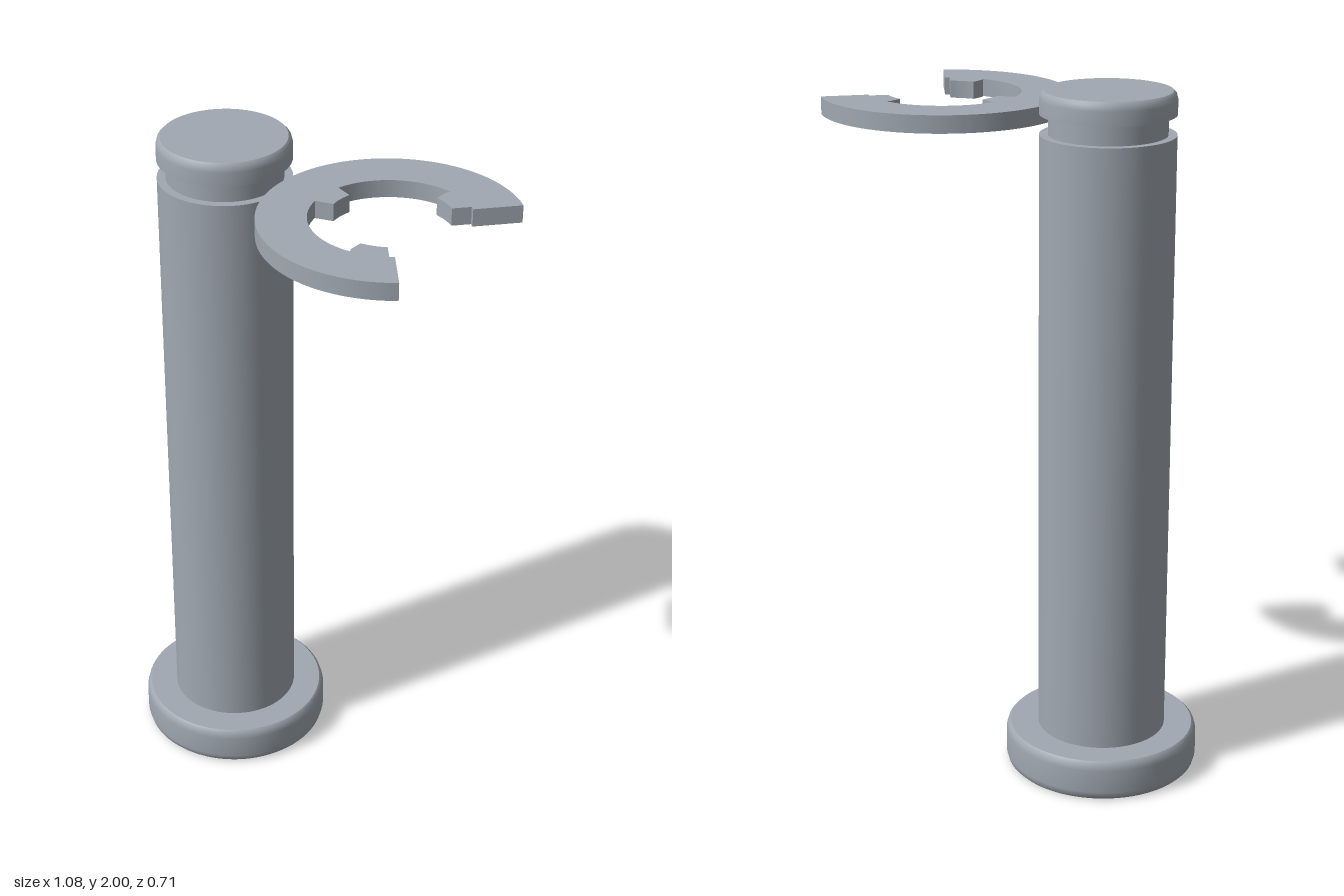
import * as THREE from 'three';
import { toCreasedNormals } from 'three/addons/utils/BufferGeometryUtils.js';

const PIN_X = -0.257;
const CLIP_X = 0.311;

// Turned piece; each profile section is smooth, edges between sections stay sharp
function turned(name, sections, material) {
  const group = new THREE.Group();
  group.name = name;
  for (const section of sections) {
    const points = section.map(([r, y]) => new THREE.Vector2(r, y));
    const mesh = new THREE.Mesh(new THREE.LatheGeometry(points, 72), material);
    mesh.name = name + 'Surface';
    group.add(mesh);
  }
  group.position.x = PIN_X;
  return group;
}

// Open retaining ring with three inner lugs
function clipShape() {
  const outer = 0.354, inner = 0.219, lug = 0.167;
  const mouth = Math.atan2(0.272, 0.227);
  const half = []; // upper half of the inner edge, from the middle lug to the mouth
  const arc = (r, from, to, n) => {
    for (let i = 0; i <= n; i++) {
      const a = from + ((to - from) * i) / n;
      half.push([r * Math.cos(a), r * Math.sin(a)]);
    }
  };
  arc(lug, Math.PI, Math.PI - 0.205, 4);
  arc(inner, Math.PI - 0.232, Math.atan2(0.217, 0.032), 28);
  half.push([0.026, 0.205]);
  arc(lug, Math.atan2(0.165, 0.026), Math.atan2(0.139, 0.092), 8);
  half.push([0.127, 0.179], [0.138, 0.17]);

  const shape = new THREE.Shape();
  shape.absarc(0, 0, outer, mouth, Math.PI * 2 - mouth, false);
  // lower inner edge back to the middle lug, then the upper one to the mouth
  [...half].reverse().forEach(([x, y]) => shape.lineTo(x, -y));
  half.slice(1).forEach(([x, y]) => shape.lineTo(x, y));
  shape.closePath();
  return shape;
}

export function createModel() {
  const steel = new THREE.MeshStandardMaterial({ color: 0xa0a8b1 });
  steel.name = 'steel grey';
  const model = new THREE.Group();
  model.name = 'pinAndClip';

  // Wide foot with softened rims
  model.add(turned('pinHead', [
    [[0, 0], [0.268, 0]],
    [[0.268, 0], [0.276, 0.008], [0.281, 0.026], [0.281, 0.094], [0.276, 0.112], [0.268, 0.12]],
    [[0.268, 0.12], [0.187, 0.12]],
  ], steel));

  // Long shaft up to the groove
  model.add(turned('shaft', [
    [[0.187, 0.12], [0.187, 1.88]],
    [[0.187, 1.88], [0.163, 1.88]],
  ], steel));

  model.add(turned('groove', [[[0.163, 1.88], [0.163, 1.936]]], steel));

  // Cap above the groove
  model.add(turned('tip', [
    [[0.163, 1.936], [0.187, 1.936]],
    [[0.187, 1.936], [0.187, 1.976], [0.183, 1.992], [0.175, 2]],
    [[0.175, 2], [0, 2]],
  ], steel));

  // Retaining clip beside the groove
  const clipGeometry = new THREE.ExtrudeGeometry(clipShape(), {
    depth: 0.05, bevelEnabled: false, curveSegments: 64,
  });
  clipGeometry.rotateX(-Math.PI / 2);
  const clip = new THREE.Mesh(toCreasedNormals(clipGeometry, 0.35), steel);
  clip.name = 'retainingClip';
  clip.position.set(CLIP_X, 1.883, 0);
  model.add(clip);

  return model;
}
